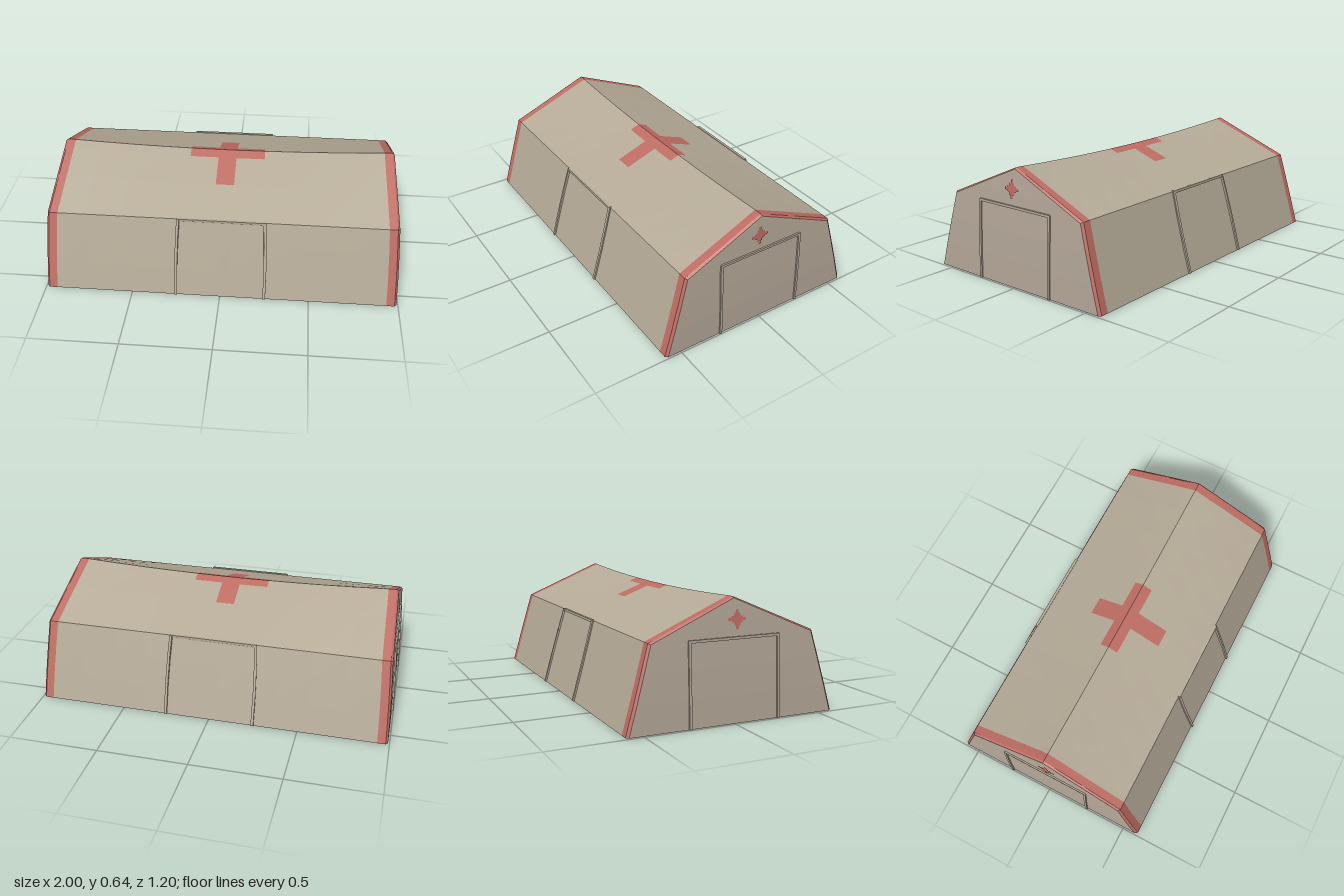
import * as THREE from 'three';

const mat = (name, color) => {
  const m = new THREE.MeshStandardMaterial({ color, side: THREE.DoubleSide });
  m.name = name;
  return m;
};

const EAVE = 0.44, RIDGE = 0.637, EAVE_Z = 0.465, BASE_Z = 0.59;

// half-length of the canvas at a height (ends lean inwards in a curve)
const endX = (y) => 0.98 - 0.035 * Math.pow(Math.max(y, 0) / RIDGE, 1.5);
// half-width of the tent at a height
const halfWidth = (y) => y <= EAVE
  ? BASE_Z - (BASE_Z - EAVE_Z) * y / EAVE
  : EAVE_Z * (RIDGE - y) / (RIDGE - EAVE);

// surface from a grid of points, one material index per cell
function gridGeometry(points, pick = () => 0) {
  const cells = new Map();
  for (let i = 0; i < points.length - 1; i++) {
    for (let j = 0; j < points[i].length - 1; j++) {
      const a = points[i][j], b = points[i + 1][j], c = points[i + 1][j + 1], d = points[i][j + 1];
      const k = pick(i, j);
      if (!cells.has(k)) cells.set(k, []);
      cells.get(k).push(...a, ...b, ...c, ...a, ...c, ...d);
    }
  }
  const geo = new THREE.BufferGeometry(), all = [];
  for (const [k, list] of cells) {
    geo.addGroup(all.length / 3, list.length / 3, k);
    for (const v of list) all.push(v);
  }
  geo.setAttribute('position', new THREE.Float32BufferAttribute(all, 3));
  geo.computeVertexNormals();
  return geo;
}

// square bars along a path
function barPath(name, pts, size, material) {
  const group = new THREE.Group();
  group.name = name;
  for (let i = 0; i < pts.length - 1; i++) {
    const a = new THREE.Vector3(...pts[i]), b = new THREE.Vector3(...pts[i + 1]);
    const dir = b.clone().sub(a);
    const bar = new THREE.Mesh(new THREE.BoxGeometry(size, size, dir.length() + size * 0.5), material);
    bar.name = name + 'Bar';
    bar.position.copy(a).add(b).multiplyScalar(0.5);
    bar.lookAt(b);
    group.add(bar);
  }
  return group;
}

export function createModel() {
  const canvas = mat('canvas', 0xb5aa97);
  const gableCanvas = mat('gable canvas', 0xb2a596);
  const red = mat('faded red', 0xbd6c62);
  const model = new THREE.Group();
  model.name = 'tent';

  // cross-section from the front hem over the ridge to the back hem: [z, y]
  const wallY = [0, 0.15, 0.3];
  const roofZ = [EAVE_Z, 0.235, 0.055, 0, -0.05, -0.2, -EAVE_Z];
  const profile = [
    ...wallY.map((y) => [halfWidth(y), y]),
    ...roofZ.map((z) => [z, RIDGE - (RIDGE - EAVE) * Math.abs(z) / EAVE_Z]),
    ...wallY.slice().reverse().map((y) => [-halfWidth(y), y]),
  ];

  // walls and sagging roof in one skin, with red end bands and roof cross
  const inner = [-0.75, -0.55, -0.38, -0.215, -0.052, 0.052, 0.215, 0.38, 0.55, 0.75];
  const columns = [
    (y) => -endX(y), (y) => 0.045 - endX(y),
    ...inner.map((x) => () => x),
    (y) => endX(y) - 0.045, (y) => endX(y),
  ];
  const skin = columns.map((col) => profile.map(([z, y]) => {
    const x = col(y);
    const up = Math.max(0, (y - EAVE) / (RIDGE - EAVE));
    return [x, y - 0.027 * up * Math.max(0, 1 - (x / 0.93) ** 2), z];
  }));
  const skinColour = (i, j) => {
    if (i === 0 || i === columns.length - 2) return 1;
    const x = (skin[i][4][0] + skin[i + 1][4][0]) / 2;
    const z = (profile[j][0] + profile[j + 1][0]) / 2;
    const ax = Math.abs(x);
    const across = ax < 0.215 && z > -0.05 && z < 0.055;
    const along = ax < 0.052 && z > -0.2 && z < 0.235;
    return across || along ? 1 : 0;
  };
  const shell = new THREE.Mesh(gridGeometry(skin, skinColour), [canvas, red]);
  shell.name = 'wallsAndRoof';
  model.add(shell);

  // stepped cross for the gables
  const steps = [[0.05, 0.008], [0.032, 0.016], [0.02, 0.02], [0.016, 0.032], [0.008, 0.05]];
  const outline = [];
  for (const [sx, sy, list] of [[1, 1, steps], [-1, 1, steps.slice().reverse()],
    [-1, -1, steps], [1, -1, steps.slice().reverse()]]) {
    list.forEach(([a, b], n) => {
      if (n > 0) {
        const [pa, pb] = list[n - 1];
        outline.push(new THREE.Vector2(sx * Math.min(a, pa), sy * Math.min(b, pb)));
      }
      outline.push(new THREE.Vector2(sx * a, sy * b));
    });
  }
  const crossGeo = new THREE.ShapeGeometry(new THREE.Shape(outline));

  const OUT = 0.012, INSET_Z = 0.977, INSET_Y = 0.988;
  const gableX = (y) => endX(y) + OUT;
  for (const s of [1, -1]) {
    const side = s > 0 ? 'left' : 'right';

    // red bevelled edge between the skin and the gable
    const rimRows = [
      profile.map(([z, y]) => [s * endX(y), y, z]),
      profile.map(([z, y]) => [s * gableX(y), y * INSET_Y, z * INSET_Z]),
    ];
    const rim = new THREE.Mesh(gridGeometry(s > 0 ? rimRows : rimRows.reverse()), red);
    rim.name = side + 'GableEdge';
    model.add(rim);

    // curved gable wall
    const rows = [0, 0.15, 0.3, EAVE, 0.51, 0.58, RIDGE].map((y) =>
      [s, -s].map((k) => [s * gableX(y), y * INSET_Y, k * halfWidth(y) * INSET_Z]));
    const gable = new THREE.Mesh(gridGeometry(rows.map((r) => r.slice().reverse())), gableCanvas);
    gable.name = side + 'Gable';
    model.add(gable);

    // gable cross, tilted to lie on the wall
    const cross = new THREE.Mesh(crossGeo, red);
    cross.name = side + 'GableCross';
    const lean = Math.atan2(gableX(0.48) - gableX(0.57), 0.09);
    cross.rotation.set(-lean, s * Math.PI / 2, 0, 'YXZ');
    cross.position.set(s * (gableX(0.525) + 0.004), 0.525, 0.015);
    model.add(cross);

    // gable door frame
    const legY = [0.004, 0.15, 0.3, 0.432];
    const leg = (k) => legY.map((y) => [s * (gableX(y) + 0.001), y, k * 0.252]);
    model.add(barPath(side + 'DoorFrame', [...leg(1), ...leg(-1).reverse()], 0.014, gableCanvas));

    // front and back door frame, narrowing towards the top
    const sideLeg = (k) => [[0.25, 0.004], [0.25, 0.17], [0.246, 0.31], [0.239, 0.438]]
      .map(([x, y]) => [k * x, y, s * (halfWidth(y) + 0.002)]);
    model.add(barPath(s > 0 ? 'frontDoorFrame' : 'backDoorFrame',
      [...sideLeg(1), ...sideLeg(-1).reverse()], 0.015, canvas));
  }
  return model;
}
